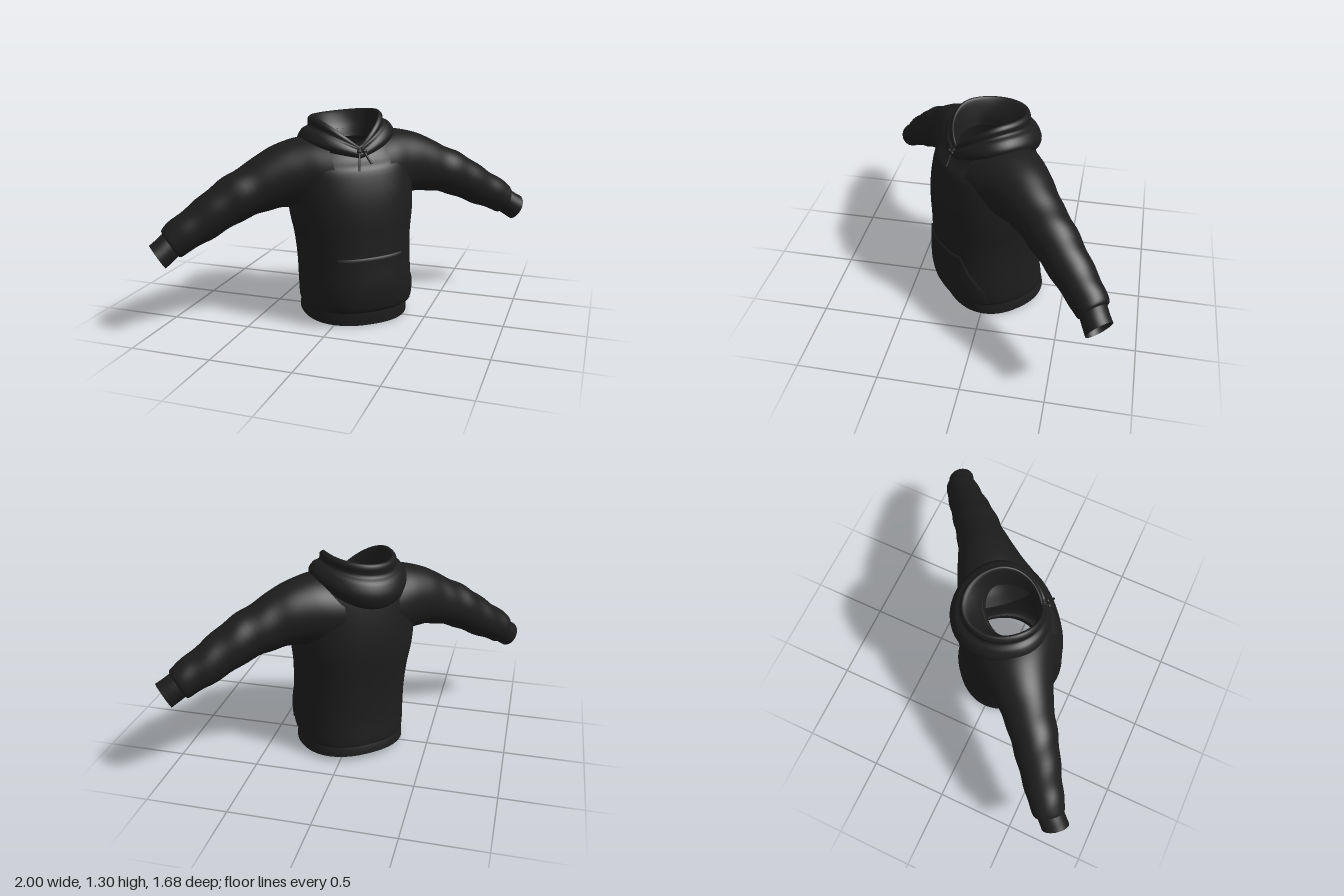
import * as THREE from 'three';

const TURN = 0.687; // the garment is turned about the vertical
const SIDES = 64;

// Catmull-Rom smoothing of rows of numbers
function smooth(rows, per) {
  const out = [];
  const row = (i) => rows[Math.max(0, Math.min(rows.length - 1, i))];
  for (let i = 0; i < rows.length - 1; i++) {
    for (let k = 0; k < per; k++) {
      const t = k / per;
      out.push(row(i).map((b, j) => {
        const a = row(i - 1)[j], c = row(i + 1)[j], d = row(i + 2)[j];
        return b + 0.5 * t * (c - a + t * (2 * a - 5 * b + 4 * c - d + t * (3 * (b - c) + d - a)));
      }));
    }
  }
  out.push(rows[rows.length - 1]);
  return out;
}

// The whole garment leans slightly to its right
const lean = (x, y, z) => [x + 0.025 - 0.045 * y, y + 0.035 * x * Math.min(1, 2 * y), z];

// Surface through rings of [x, y, z]
function loft(rings, closed = true) {
  const n = rings[0].length, pos = [], index = [];
  for (const ring of rings) for (const p of ring) pos.push(...lean(...p));
  for (let i = 0; i < rings.length - 1; i++) {
    for (let j = 0; j < (closed ? n : n - 1); j++) {
      const k = (j + 1) % n, a = i * n, b = a + n;
      index.push(a + j, b + j, a + k, a + k, b + j, b + k);
    }
  }
  const g = new THREE.BufferGeometry();
  g.setAttribute('position', new THREE.Float32BufferAttribute(pos, 3));
  g.setIndex(index);
  g.computeVertexNormals();
  return g;
}

const around = (fn) => Array.from({ length: SIDES }, (_, i) => fn((i / SIDES) * Math.PI * 2));
const power = (c, e) => Math.sign(c) * Math.abs(c) ** e;
const N = 2.3; // squareness of the body cross-section

function oval(a, b, cz, yAt) {
  return around((p) => {
    const z = cz + b * power(Math.cos(p), 2 / N);
    return [a * power(Math.sin(p), 2 / N), yAt(z), z];
  });
}

// Body sections: height, half width, half depth, depth centre
const BODY = smooth([
  [0.085, 0.327, 0.305, 0.005], [0.12, 0.346, 0.33, 0.027], [0.25, 0.352, 0.332, 0.045],
  [0.4, 0.352, 0.325, 0.043], [0.55, 0.362, 0.324, 0.038], [0.7, 0.385, 0.326, 0.032],
  [0.85, 0.388, 0.312, 0.028], [1.0, 0.37, 0.28, 0.02], [1.08, 0.34, 0.248, 0.01],
  [1.14, 0.3, 0.215, 0.01], [1.165, 0.23, 0.19, 0.025], [1.17, 0.18, 0.17, 0.045],
], 5);

function bodyAt(y) {
  const i = Math.max(1, BODY.findIndex((r) => r[0] >= y));
  const p = BODY[i - 1], q = BODY[i], t = (y - p[0]) / (q[0] - p[0]);
  return p.map((v, j) => v + (q[j] - v) * t);
}

function bodyGeometry() {
  return loft(BODY.map(([y, a, b, cz]) => {
    const drop = THREE.MathUtils.smoothstep(y, 0.95, 1.17) * 0.3;
    return oval(a, b, cz, (z) => y - drop * Math.max(0, z));
  }));
}

// Ribbed band, hanging a little lower at the front
function hemGeometry() {
  return loft([
    oval(0.338, 0.312, -0.003, (z) => 0.021 - 0.06 * z),
    oval(0.337, 0.312, 0, (z) => 0.05 - 0.03 * z),
    oval(0.334, 0.311, 0.004, () => 0.085),
    oval(0.325, 0.305, 0.006, () => 0.105),
  ]);
}

// Front pocket following the body, with slanted hand openings
function pocketGeometry() {
  const rows = [], steps = 20, cols = 28;
  for (let i = -1; i <= steps + 1; i++) {
    const s = Math.min(steps, Math.max(0, i)) / steps;
    const y = 0.115 + 0.345 * s;
    const half = 0.312 - 0.108 * THREE.MathUtils.smoothstep(y, 0.2, 0.48);
    const [, a, b, cz] = bodyAt(y);
    const row = [];
    for (let j = -1; j <= cols + 1; j++) {
      const t = Math.min(cols, Math.max(0, j)) / cols;
      const edge = i < 0 || i > steps || j < 0 || j > cols;
      const off = edge ? 0.001 : 0.01;
      const x = half * (2 * t - 1) * (1 + off / a);
      row.push([x, y, cz + (b + off) * (1 - Math.abs(x / (a + off)) ** N) ** (1 / N)]);
    }
    rows.push(row);
  }
  return loft(rows.reverse(), false);
}

// Tilted ring across a sleeve
function sleeveRing(side, [x, y, h, cz, d, tilt], ripple = 0) {
  return around((p) => {
    const f = 1 + ripple * Math.sin(x * 36 + 2 * Math.sin(p + 0.6));
    const up = h * f * Math.cos(p);
    return [side * (x + up * Math.sin(tilt)), y + up * Math.cos(tilt), cz + d * f * Math.sin(p)];
  });
}

// Sleeve stations: out, height, half height, depth centre, half depth, tilt;
// the root flares so that it runs smoothly into the body
const SLEEVE = smooth([
  [0.18, 0.945, 0.222, 0.015, 0.262, 0], [0.26, 0.945, 0.222, 0.008, 0.238, 0.03],
  [0.34, 0.943, 0.213, 0, 0.211, 0.1], [0.45, 0.928, 0.191, -0.003, 0.18, 0.25],
  [0.57, 0.89, 0.162, -0.002, 0.153, 0.4], [0.75, 0.82, 0.14, -0.004, 0.137, 0.5],
  [0.95, 0.705, 0.12, -0.012, 0.118, 0.52], [1.07, 0.64, 0.107, -0.015, 0.107, 0.5],
  [1.125, 0.605, 0.098, -0.012, 0.098, 0.5], [1.135, 0.598, 0.078, -0.01, 0.08, 0.5],
], 6);
const CUFF = [
  [1.11, 0.608, 0.077, -0.01, 0.08, 0.5], [1.14, 0.59, 0.082, -0.008, 0.084, 0.5],
  [1.18, 0.56, 0.082, 0, 0.084, 0.5], [1.215, 0.537, 0.083, 0.006, 0.085, 0.5],
];

// Hood folded down around the neck: depth and height at the front,
// half width and height at the side, depth and height at the back
const HOOD = smooth([
  [0.195, 1.06, 0.165, 1.12, 0.11, 1.12], [0.205, 1.09, 0.177, 1.2, 0.145, 1.19],
  [0.215, 1.115, 0.198, 1.285, 0.232, 1.268], [0.23, 1.11, 0.228, 1.272, 0.258, 1.25],
  [0.235, 1.095, 0.232, 1.235, 0.258, 1.2], [0.25, 1.09, 0.27, 1.215, 0.298, 1.165],
  [0.262, 1.07, 0.3, 1.17, 0.325, 1.09], [0.255, 1.05, 0.282, 1.125, 0.305, 1.02],
  [0.225, 1.04, 0.25, 1.11, 0.25, 1.0],
], 5);

// The front comes down to a V, the back is rounded
function hoodGeometry() {
  return loft(HOOD.map(([zf, yf, xs, ys, zb, yb]) => around((p) => {
    const c = Math.cos(p), s = Math.sin(p);
    const y = c > 0 ? ys + (yf - ys) * (1 - Math.abs(s)) : ys + (yb - ys) * Math.abs(c) ** 1.5;
    return [xs * s, y + 0.03 * xs * s, c * (c > 0 ? zf : zb)];
  })).reverse());
}

export function createModel() {
  const cloth = new THREE.MeshStandardMaterial({ color: 0x1d1d1d, side: THREE.DoubleSide });
  cloth.name = 'black cloth';

  const model = new THREE.Group();
  model.name = 'hoodedSweatshirt';
  const add = (name, geometry) => {
    const mesh = new THREE.Mesh(geometry, cloth);
    mesh.name = name;
    model.add(mesh);
    return mesh;
  };

  add('body', bodyGeometry());
  add('hemBand', hemGeometry());
  add('pocket', pocketGeometry());
  add('hood', hoodGeometry());

  for (const side of [1, -1]) {
    const label = side > 0 ? 'left' : 'right';
    add(label + 'Sleeve', loft(SLEEVE.map((r) =>
      sleeveRing(side, r, 0.024 * THREE.MathUtils.smoothstep(r[0], 0.4, 0.7)))));
    add(label + 'Cuff', loft(CUFF.map((r) => sleeveRing(side, r))));

    // Drawstring with a knot at the neckline; the left one is shorter
    const end = side > 0 ? 1.02 : 0.985;
    const path = new THREE.CatmullRomCurve3([
      [0.01, 1.11, 0.235], [0.016, 1.085, 0.264], [0.028, 1.05, 0.288], [0.04, end, 0.312],
    ].map(([x, y, z]) => new THREE.Vector3(...lean(side * x, y, z))));
    add(label + 'Drawstring', new THREE.TubeGeometry(path, 16, 0.007, 8));
    const knot = add(label + 'Knot', new THREE.SphereGeometry(0.014, 12, 8));
    knot.position.set(...lean(side * 0.016, 1.09, 0.262));
    knot.scale.set(1.2, 0.9, 0.8);
  }

  model.rotation.y = TURN;
  const root = new THREE.Group();
  root.name = 'garment';
  root.add(model);
  return root;
}
